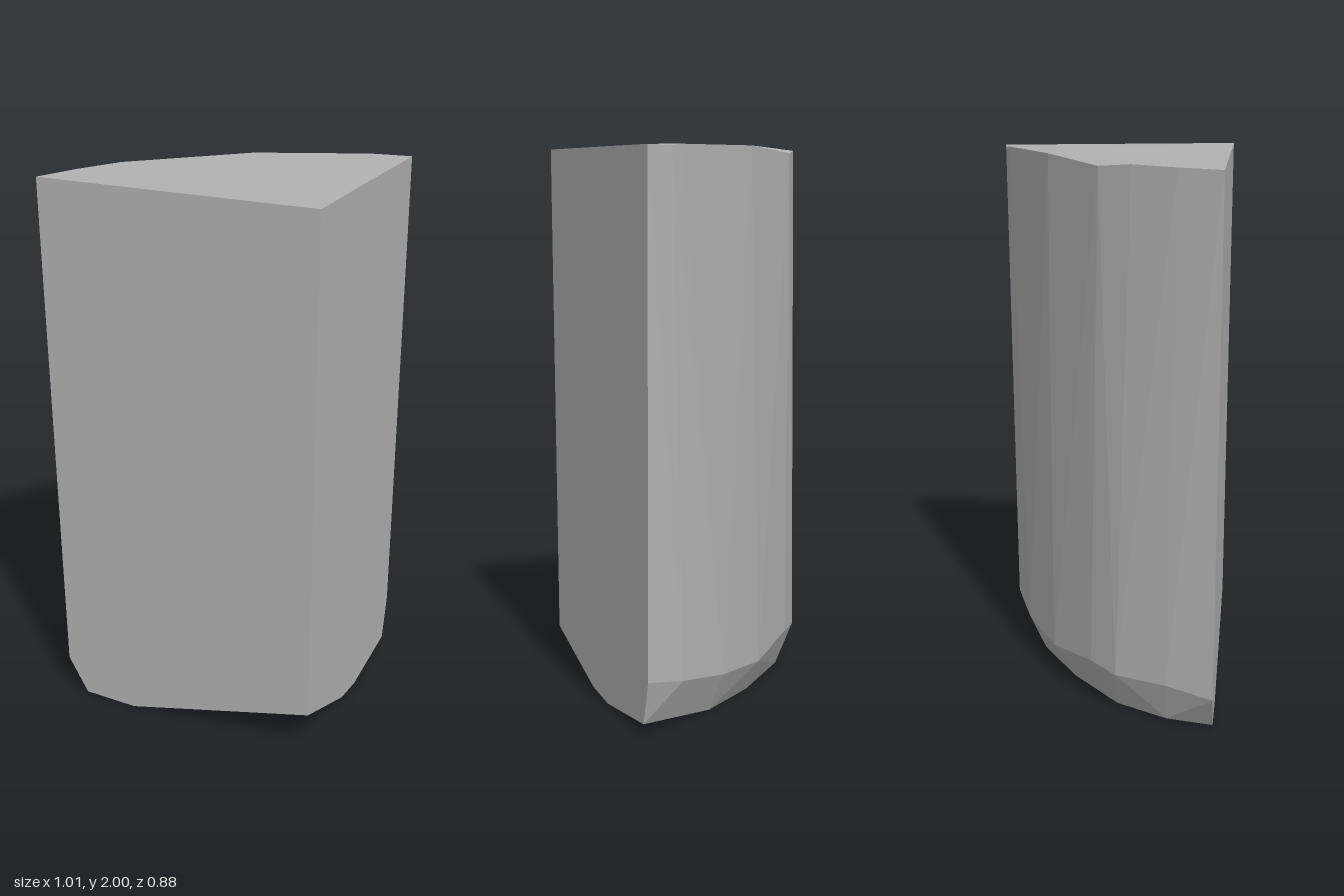
import * as THREE from 'three';
import { ConvexGeometry } from 'three/addons/geometries/ConvexGeometry.js';

export function createModel() {
  const group = new THREE.Group();
  const stone = new THREE.MeshStandardMaterial({ color: 0xb2b2b2, flatShading: true });
  stone.name = 'plain grey';

  // Cross-sections as [x, y, z], from the front edge round the curved back to the side edge
  const topRim = [
    [0.505, 2, 0.44], [-0.505, 2, 0.44], [-0.443, 2, 0.29], [-0.355, 2, 0.13],
    [-0.27, 1.985, 0.01], [0, 2, -0.2], [0.365, 1.99, -0.402], [0.41, 1.985, -0.423], [0.505, 1.985, -0.443],
  ];
  const lowerRim = [
    [-0.475, 0.15, 0.44], [-0.42, 0.17, 0.27], [-0.335, 0.16, 0.08], [-0.245, 0.17, -0.02],
    [-0.04, 0.13, -0.19], [0.17, 0.15, -0.318], [0.365, 0.18, -0.395], [0.505, 0.2, -0.412],
  ];
  // Worn lower edge, with the bottom rising towards the square corner
  const foot = [
    [-0.4, 0.015, 0.44], [-0.2, 0.005, 0.44], [-0.36, 0.01, 0.27], [-0.26, 0.01, 0.08],
    [-0.03, 0.0, -0.11], [0.2, 0.005, -0.26], [0.45, 0, -0.24], [0.505, 0.04, -0.37],
    [0.505, 0.01, -0.05], [0.505, 0.03, 0.09], [0.505, 0.17, 0.44],
  ];
  const points = [...topRim, ...lowerRim, ...foot].map((p) => new THREE.Vector3(...p));

  const block = new THREE.Mesh(new ConvexGeometry(points), stone);
  block.name = 'quarterRoundBlock';
  group.add(block);
  return group;
}
